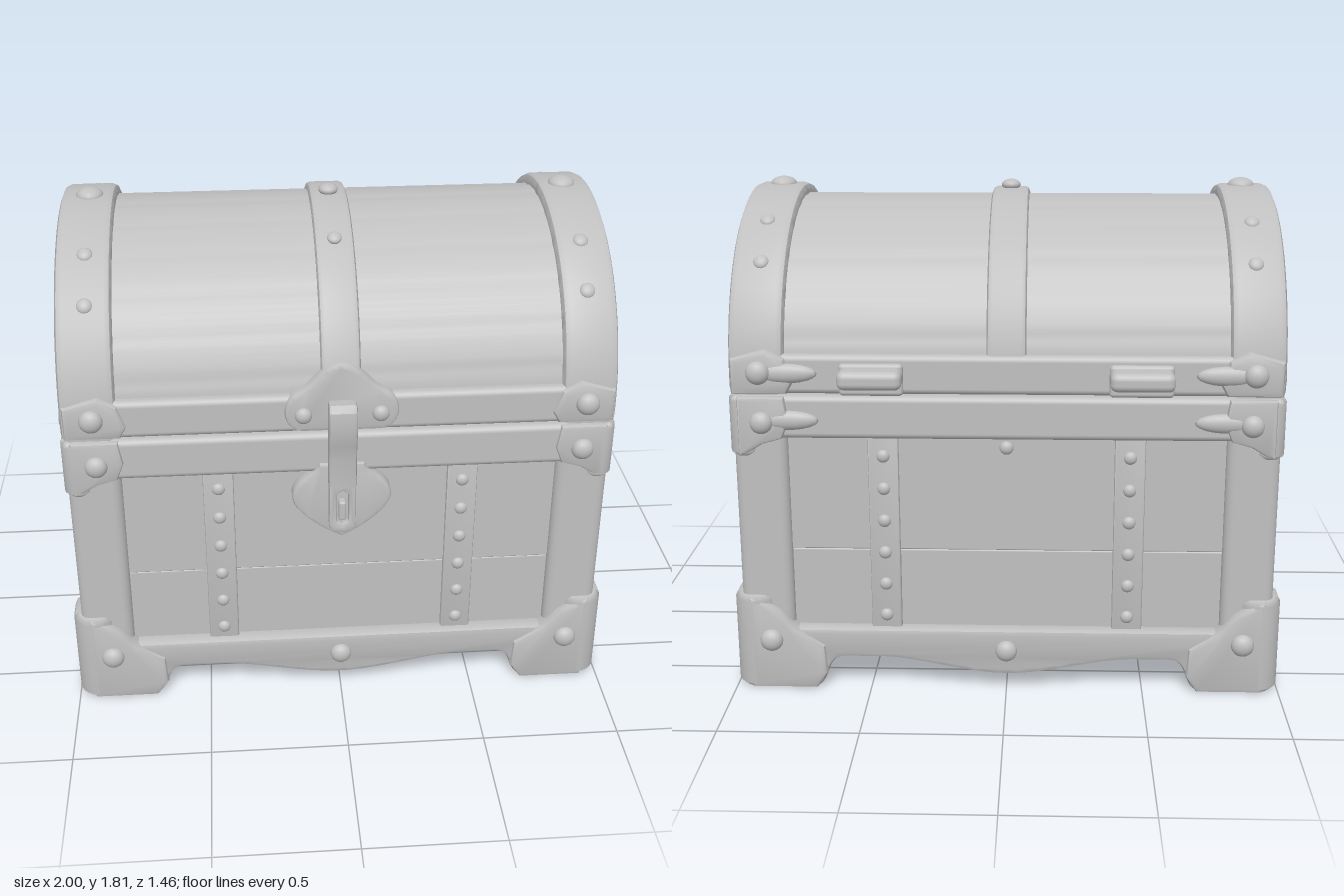
import * as THREE from 'three';
import { toCreasedNormals } from 'three/addons/utils/BufferGeometryUtils.js';
import { RoundedBoxGeometry } from 'three/addons/geometries/RoundedBoxGeometry.js';

const FRONT = 0, BACK = Math.PI, LEFT = Math.PI / 2, RIGHT = -Math.PI / 2;

export function createModel() {
  const chest = new THREE.Group();
  chest.name = 'treasureChest';
  const grey = new THREE.MeshStandardMaterial({ color: 0xc0c0c0 });
  grey.name = 'clay grey';

  const add = (name, geo, parent = chest) => {
    const mesh = new THREE.Mesh(geo, grey);
    mesh.name = name;
    parent.add(mesh);
    return mesh;
  };
  const box = (name, x0, x1, y0, y1, z0, z1, r = 0.012) =>
    add(name, new RoundedBoxGeometry(x1 - x0, y1 - y0, z1 - z0, 3, r))
      .position.set((x0 + x1) / 2, (y0 + y1) / 2, (z0 + z1) / 2);

  // A bevelled plate in the frame of one wall, its outer face at distance dist
  const plate = (name, shape, side, dist, depth, bevel = 0.012) => {
    const geo = new THREE.ExtrudeGeometry(shape, {
      depth: depth - 2 * bevel, bevelEnabled: bevel > 0, bevelThickness: bevel,
      bevelSize: bevel, bevelOffset: -bevel, bevelSegments: 2, curveSegments: 12,
    });
    geo.translate(0, 0, dist - depth + bevel);
    geo.rotateY(side);
    return add(name, toCreasedNormals(geo, 0.6));
  };
  const poly = (pts, m = 1) => new THREE.Shape(pts.map(([x, y]) => new THREE.Vector2(x * m, y)));

  // Domed rivets and other rounded lumps on a wall
  const dome = new THREE.SphereGeometry(1, 16, 12);
  const lump = (name, side, u, y, dist, sx, sy, sz) => {
    const m = add(name, dome);
    m.scale.set(sx, sy, sz);
    m.rotation.y = side;
    m.position.set(u * Math.cos(side) + dist * Math.sin(side), y,
      -u * Math.sin(side) + dist * Math.cos(side));
  };
  const rivet = (side, u, y, dist, r) => lump('rivet', side, u, y, dist, r, r, r * 0.75);

  // Upright rounded corners at the four corners of the chest
  const corners = (name, x, z, r, y0, y1) => {
    const e = 0.018;
    const geo = new THREE.LatheGeometry([[0, y0], [r - e, y0], [r, y0 + e], [r, y1 - e], [r - e, y1], [0, y1]]
      .map(([a, b]) => new THREE.Vector2(a, b)), 28);
    for (const sx of [-1, 1]) for (const sz of [-1, 1]) {
      add(name, geo).position.set(sx * (x - r), 0, sz * (z - r));
    }
  };

  // Arch outline of the lid with vertical feet
  const archPoints = (a, b, cy, y0, n = 48, notch = 0) => {
    const pts = [[-a, y0], [a, y0]];
    for (let i = 0; i <= n; i++) {
      const t = (i / n) * Math.PI;
      const k = notch && i % 6 === 0 && i > 0 && i < n ? 1 - notch : 1;
      pts.push([a * k * Math.cos(t), cy + b * k * Math.sin(t)]);
    }
    return pts;
  };

  // ---------- Body ----------
  box('bodyCore', -0.91, 0.91, 0.15, 1.14, -0.58, 0.58);
  for (let i = 0; i < 5; i++) {
    const z = -0.58 + i * 0.232;
    box('floorBoard', -0.91, 0.91, 0.138, 0.165, z, z + 0.229, 0.004);
  }
  box('lowerPlanks', -0.936, 0.936, 0.15, 0.528, -0.602, 0.602, 0.005);
  box('upperPlanks', -0.94, 0.94, 0.53, 1.0, -0.607, 0.607, 0.005);
  for (const sx of [-1, 1]) for (const sz of [-1, 1]) {
    const x = [0.78 * sx, 0.97 * sx].sort((a, b) => a - b);
    const z = [0.495 * sz, 0.643 * sz].sort((a, b) => a - b);
    box('cornerPost', ...x, 0.14, 1.03, ...z, 0.035);
  }
  box('bodyRim', -0.973, 0.973, 0.96, 1.116, -0.653, 0.653, 0.022);

  // ---------- Base skirts ----------
  const skirt = (w, foot, dip) => {
    const s = new THREE.Shape();
    const f = foot, flat = foot * 0.66;
    s.moveTo(-w, 0);
    s.lineTo(-f, 0);
    s.bezierCurveTo(-f + 0.05, 0.02, -f + 0.03, 0.115, -f + 0.1, 0.12);
    s.lineTo(-flat, 0.12);
    s.bezierCurveTo(-flat * 0.7, 0.12, -flat * 0.35, dip, 0, dip);
    s.bezierCurveTo(flat * 0.35, dip, flat * 0.7, 0.12, flat, 0.12);
    s.lineTo(f - 0.1, 0.12);
    s.bezierCurveTo(f - 0.03, 0.115, f - 0.05, 0.02, f, 0);
    s.lineTo(w, 0);
    s.lineTo(w, 0.232);
    s.lineTo(-w, 0.232);
    return s;
  };
  // raised corner plates over the feet
  const longFoot = [[0.94, 0], [0.7, 0], [0.658, 0.06], [0.665, 0.17], [0.77, 0.235], [0.795, 0.262],
    [0.83, 0.307], [0.89, 0.344], [0.94, 0.36]];
  const endFoot = [[0.612, 0], [0.375, 0], [0.335, 0.06], [0.345, 0.17], [0.45, 0.235], [0.465, 0.29],
    [0.485, 0.345], [0.52, 0.36], [0.612, 0.36]];
  for (const side of [FRONT, BACK]) {
    plate('longSkirt', skirt(0.94, 0.7, 0.058), side, 0.658, 0.085, 0.018);
    rivet(side, 0, 0.155, 0.658, 0.04);
    for (const m of [-1, 1]) {
      plate('footPlate', poly(longFoot, m), side, 0.673, 0.095, 0.018);
      rivet(side, 0.86 * m, 0.195, 0.673, 0.042);
    }
  }
  for (const side of [LEFT, RIGHT]) {
    plate('endSkirt', skirt(0.612, 0.375, 0.12), side, 0.988, 0.085, 0.018);
    for (const m of [-1, 1]) plate('footPlate', poly(endFoot, m), side, 1, 0.095, 0.018);
  }
  corners('baseCorner', 1, 0.673, 0.08, 0, 0.36);

  // ---------- Riveted straps and corner brackets ----------
  for (const side of [FRONT, BACK]) {
    for (const u of [-0.44, 0.44]) {
      plate('strap', poly([[u - 0.055, 0.2], [u + 0.055, 0.2], [u + 0.055, 0.98], [u - 0.055, 0.98]]),
        side, 0.624, 0.04, 0.008);
      for (let i = 0; i < 6; i++) rivet(side, u, 0.28 + i * 0.122, 0.622, 0.024);
    }
    const out = side === BACK ? 0.01 : 0;
    for (const m of [-1, 1]) {
      plate('rimBracket', poly([[0.945, 1.114], [0.78, 1.114], [0.765, 1.03], [0.79, 0.965],
        [0.86, 0.945], [0.91, 0.915], [0.945, 0.9]], m), side, 0.664 + out, 0.05);
      plate('lidBracket', poly([[0.965, 1.125], [0.77, 1.125], [0.745, 1.17], [0.775, 1.25],
        [0.84, 1.285], [0.965, 1.25]], m), side, 0.659 + out, 0.06, 0.02);
      rivet(side, 0.86 * m, 1.025, 0.665 + out, 0.04);
      rivet(side, 0.865 * m, 1.205, 0.662 + out, 0.042);
    }
  }
  for (const m of [-1, 1]) for (const y of [1.03, 1.2]) {
    lump('bracketTongue', BACK, 0.77 * m, y, 0.655, 0.11, 0.035, 0.025);
  }
  rivet(BACK, 0, 0.92, 0.607, 0.025);
  for (const side of [LEFT, RIGHT]) for (const m of [-1, 1]) {
    plate('rimEndBracket', poly([[0.63, 1.114], [0.48, 1.114], [0.45, 1.05], [0.46, 0.965],
      [0.56, 0.93], [0.6, 0.908], [0.63, 0.9]], m), side, 0.981, 0.05);
    lump('lidEndKnob', side, 0.56 * m, 1.18, 0.972, 0.06, 0.04, 0.012);
  }
  corners('rimCorner', 0.981, 0.664, 0.05, 0.895, 1.114);

  // ---------- Lid ----------
  plate('lidBarrel', poly(archPoints(0.618, 0.575, 1.17, 1.13, 72, 0.006)), LEFT, 0.92, 1.84, 0);
  box('lidRail', -0.96, 0.96, 1.121, 1.262, -0.643, 0.643, 0.022);
  for (const side of [LEFT, RIGHT]) {
    const band = poly(archPoints(0.648, 0.615, 1.17, 1.12));
    band.holes.push(poly(archPoints(0.495, 0.40, 1.24, 1.235)));
    plate('endBand', band, side, 0.975, 0.195, 0.025);
    // boards filling the arched end
    plate('endPanelLower', poly([[-0.5, 1.2], [0.5, 1.2], [0.48, 1.4], [-0.48, 1.4]]), side, 0.95, 0.04, 0.004);
    plate('endPanelUpper', poly([[-0.48, 1.402], [0.48, 1.402], [0.34, 1.6], [0.15, 1.66],
      [-0.15, 1.66], [-0.34, 1.6]]), side, 0.948, 0.04, 0.004);
  }
  plate('middleBand', poly(archPoints(0.638, 0.602, 1.17, 1.2)), LEFT, 0.07, 0.14, 0.018);

  // rivets over the bands
  const lidRivet = (x, deg, r) => {
    const t = THREE.MathUtils.degToRad(deg);
    const m = add('lidRivet', dome);
    m.scale.set(r, r * 0.6, r);
    m.rotation.x = Math.PI / 2 - t;
    m.position.set(x, 1.17 + 0.612 * Math.sin(t), 0.644 * Math.cos(t));
  };
  for (const x of [-0.87, 0.87]) {
    lidRivet(x, 90, 0.05);
    for (const d of [40, 58, 122, 140]) lidRivet(x, d, 0.028);
  }
  lidRivet(0, 90, 0.036);
  lidRivet(0, 62, 0.026);

  // ---------- Hinges ----------
  for (const m of [-1, 1]) {
    const [x0, x1] = m > 0 ? [0.36, 0.585] : [-0.585, -0.36];
    box('hingeKnuckle', x0, x1, 1.155, 1.222, -0.73, -0.6, 0.025);
    box('hingeLeaf', x0, x1, 1.12, 1.235, -0.662, -0.6, 0.015);
  }

  // ---------- Lock ----------
  const upper = new THREE.Shape();
  upper.moveTo(0, 1.372);
  upper.bezierCurveTo(0.07, 1.37, 0.09, 1.3, 0.16, 1.275);
  upper.bezierCurveTo(0.22, 1.25, 0.21, 1.14, 0.14, 1.135);
  upper.lineTo(-0.14, 1.135);
  upper.bezierCurveTo(-0.21, 1.14, -0.22, 1.25, -0.16, 1.275);
  upper.bezierCurveTo(-0.09, 1.3, -0.07, 1.37, 0, 1.372);
  const upperPlate = plate('upperLockPlate', upper, FRONT, 0.665, 0.08).geometry;
  // lean the plate back along the curve of the lid
  const pos = upperPlate.attributes.position;
  for (let i = 0; i < pos.count; i++) {
    const rise = Math.max(0, pos.getY(i) - 1.2);
    pos.setZ(i, pos.getZ(i) - 1.4 * rise * rise);
  }
  for (const u of [-0.135, 0.135]) rivet(FRONT, u, 1.2, 0.665, 0.03);

  const lower = new THREE.Shape();
  lower.moveTo(0, 0.695);
  lower.bezierCurveTo(0.06, 0.72, 0.18, 0.8, 0.178, 0.87);
  lower.bezierCurveTo(0.17, 0.94, 0.09, 0.95, 0.08, 1.0);
  lower.lineTo(-0.08, 1.0);
  lower.bezierCurveTo(-0.09, 0.95, -0.17, 0.94, -0.178, 0.87);
  lower.bezierCurveTo(-0.18, 0.8, -0.06, 0.72, 0, 0.695);
  plate('lowerLockPlate', lower, FRONT, 0.668, 0.065);

  const strapSide = poly([[0.65, 1.25], [0.7, 1.255], [0.725, 1.235], [0.733, 1.17], [0.715, 1.1],
    [0.702, 1.04], [0.702, 0.92], [0.665, 0.92], [0.665, 1.1]], -1);
  plate('hasp', strapSide, LEFT, 0.05, 0.1, 0.012);
  const loop = new THREE.Shape();
  loop.moveTo(-0.048, 0.95);
  loop.lineTo(-0.048, 0.765);
  loop.quadraticCurveTo(-0.045, 0.73, 0, 0.73);
  loop.quadraticCurveTo(0.045, 0.73, 0.048, 0.765);
  loop.lineTo(0.048, 0.95);
  loop.holes.push(poly([[-0.022, 0.775], [0, 0.762], [0.022, 0.775], [0.022, 0.89], [0, 0.905], [-0.022, 0.89]]));
  plate('haspLoop', loop, FRONT, 0.698, 0.04, 0.007);
  box('staple', -0.013, 0.013, 0.785, 0.86, 0.65, 0.7, 0.008);

  // ---------- Side handles ----------
  const ring = new THREE.CatmullRomCurve3([[-0.172, 0.9], [-0.168, 0.79], [-0.11, 0.704], [0, 0.672],
    [0.11, 0.704], [0.168, 0.79], [0.172, 0.9]].map(([u, y]) => new THREE.Vector3(u, y, 0)));
  for (const side of [LEFT, RIGHT]) {
    const handle = new THREE.Group();
    handle.name = 'sideHandle';
    handle.rotation.y = side;
    handle.position.x = 0.962 * Math.sin(side);
    chest.add(handle);
    add('handleRing', new THREE.TubeGeometry(ring, 40, 0.019, 10), handle);
    const blob = (name, u, y, sx, sy, sz, roll = 0) => {
      const m = add(name, dome, handle);
      m.position.set(u, y, -0.012);
      m.scale.set(sx, sy, sz);
      m.rotation.z = roll;
    };
    for (const m of [-1, 1]) {
      blob('handleLug', 0.185 * m, 0.9, 0.05, 0.065, 0.036, 0.4 * m);
      blob('handleLugTail', 0.145 * m, 0.92, 0.07, 0.04, 0.026, -0.35 * m);
    }
    blob('handleBoss', 0, 0.885, 0.047, 0.056, 0.042);
    blob('handleBossTip', 0, 0.84, 0.034, 0.04, 0.036);
  }
  return chest;
}
